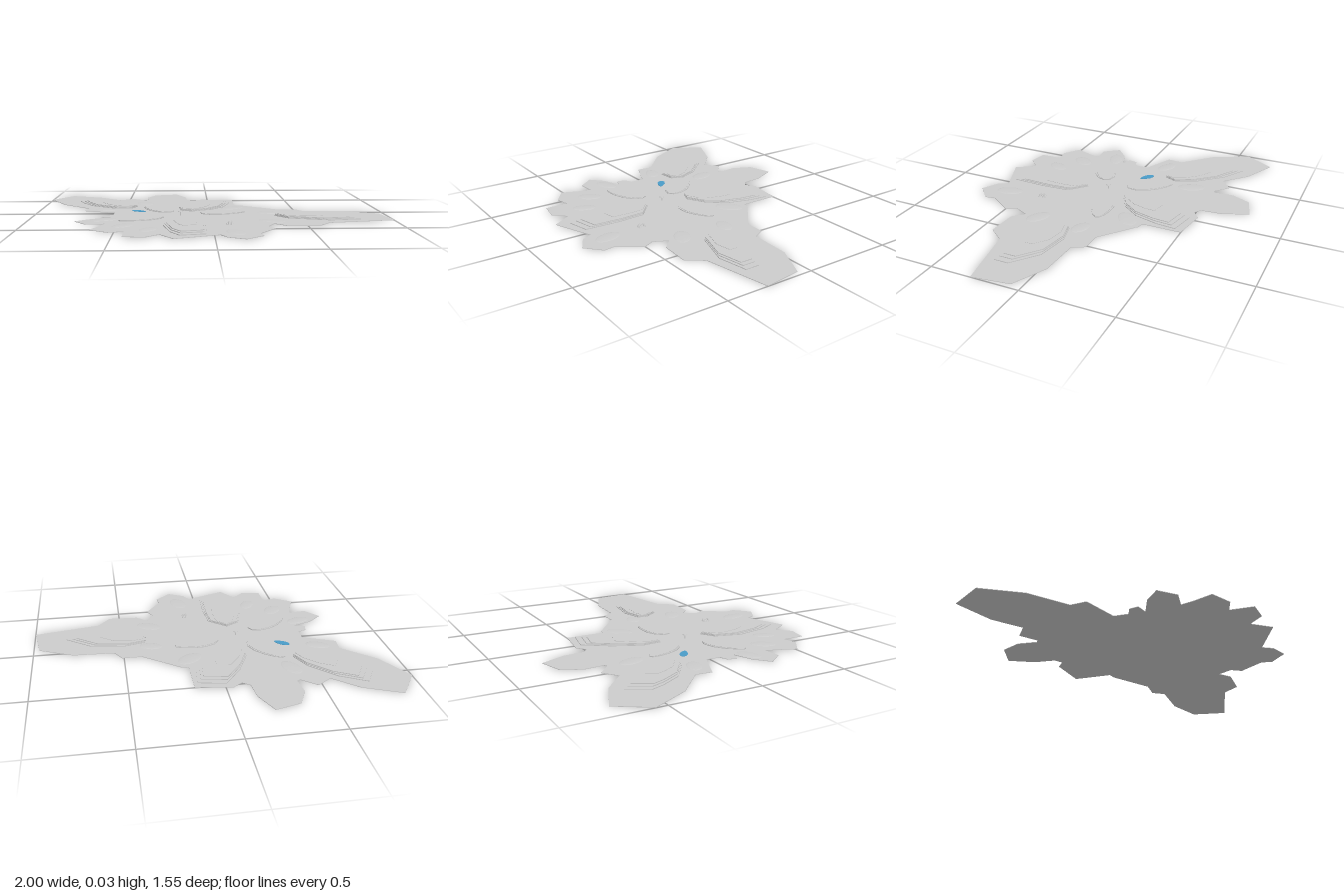
import * as THREE from 'three';

const GREY = new THREE.MeshStandardMaterial({ color: 0xcccccc, flatShading: true });
const BLUE = new THREE.MeshStandardMaterial({ color: 0x4a9cc8, flatShading: true });
const BASE_TOP = 0.003;

// Flat slab from plan points (x, z), reaching from y0 up to y1
function slab(points, y0, y1) {
  const geo = new THREE.ExtrudeGeometry(new THREE.Shape(points), { depth: y1 - y0, bevelEnabled: false });
  return geo.rotateX(Math.PI / 2).translate(0, y1, 0);
}

// Plan points written in hundredths of a unit
const plan = (list) => list.map(([x, z]) => new THREE.Vector2(x / 100, z / 100));

// Points of a rounded leaf between two ends
function leafPoints([x0, z0, x1, z1, width]) {
  const a = new THREE.Vector2(x0, z0).divideScalar(100);
  const b = new THREE.Vector2(x1, z1).divideScalar(100);
  const along = b.clone().sub(a);
  const side = new THREE.Vector2(-along.y, along.x).normalize().multiplyScalar(width / 200);
  const rows = [[0, 0.3], [0.15, 0.8], [0.4, 1], [0.65, 0.85], [0.88, 0.5], [1, 0.15]];
  const at = (t, s) => a.clone().addScaledVector(along, t).addScaledVector(side, s);
  return [...rows.map(([t, s]) => at(t, s)), ...rows.reverse().map(([t, s]) => at(t, -s))];
}

export function createModel() {
  const model = new THREE.Group();
  const add = (name, geo, parent = model, mat = GREY) => {
    const mesh = new THREE.Mesh(geo, mat);
    mesh.name = name;
    parent.add(mesh);
    return mesh;
  };

  // Lobed ground sheet
  const outline = plan([
    [-100, -56], [-89, -73], [-69, -64], [-56, -52], [-48, -58], [-40, -51], [-38, -52], [-39, -63],
    [-34, -74], [-20, -78], [-14, -64], [-13, -52], [-9, -49], [-4, -53], [16, -50], [16, -28],
    [20, -27], [40, -11], [51, -11], [55, -4], [78, -3], [97, 6], [100, 27], [63, 34],
    [56, 43], [39, 42], [33, 36], [29, 44], [32, 50], [23, 63], [24, 69], [15, 77],
    [6, 72], [3, 66], [-20, 75], [-27, 64], [-34, 71], [-45, 69], [-45, 56], [-53, 58],
    [-63, 51], [-59, 41], [-57, 34], [-67, 35], [-74, 26], [-66, 19], [-55, 15], [-61, 13],
    [-60, 8], [-55, 6], [-55, -2], [-64, -6], [-73, -10], [-72, -19], [-89, -35],
  ]);
  add('groundSheet', slab(outline, 0, BASE_TOP));

  // Large terraced petals, each tier shrinking toward the rounded inner end
  const petals = [
    { root: [-47, -21], pts: [[-81, -48], [-75, -59], [-61, -51], [-48, -37], [-43, -25], [-46, -18], [-56, -17], [-71, -28], [-78, -40]] },
    { root: [-14, -9], pts: [[-18, -19], [-11, -35], [-1, -49], [14, -46], [13, -35], [9, -21], [1, -11], [-10, -5], [-17, -8]] },
    { root: [39, 12], pts: [[82, 17], [82, 25], [65, 28], [43, 21], [36, 12], [37, 6], [49, 3], [68, 6]] },
    { root: [-14, 23], pts: [[-17, 68], [-4, 65], [-3, 45], [-4, 29], [-14, 20], [-22, 25], [-26, 40], [-22, 59]] },
  ];
  const tiers = [[1, 0.007], [0.92, 0.011], [0.86, 0.015], [0.54, 0.017]];
  petals.forEach(({ root, pts }, i) => {
    const petal = new THREE.Group();
    petal.name = 'largePetal' + (i + 1);
    const [anchor] = plan([root]);
    let y = BASE_TOP;
    tiers.forEach(([scale, top], k) => {
      const ring = plan(pts).map((p) => p.sub(anchor).multiplyScalar(scale).add(anchor));
      add('tier' + (k + 1), slab(ring, y, top), petal);
      y = top;
    });
    model.add(petal);
  });

  // Small petals around the centre: two ends and a width
  [[-23, -2, -38, -25, 13], [-5, 3, 20, -2, 13], [-27, 14, -50, 26, 13]].forEach((leaf, i) => {
    const petal = new THREE.Group();
    petal.name = 'smallPetal' + (i + 1);
    add('rim', slab(leafPoints(leaf), BASE_TOP, 0.007), petal);
    const inner = [...leaf.slice(0, 4), leaf[4] * 0.85];
    add('top', slab(leafPoints(inner), 0.007, 0.009), petal);
    model.add(petal);
  });

  // Faint low swells near the edge: centre, length, width, heading
  const swells = [
    [-39, -37, 16, 9, 1.2], [14, -18, 16, 10, -0.7], [34, 1, 13, 8, 0.3],
    [33, 28, 15, 9, 0.5], [11, 60, 16, 9, 1.3], [-33, 51, 13, 8, 2.0],
    [-47, 40, 14, 9, 2.2], [-59, 22, 15, 8, 2.8], [-61, -13, 14, 8, 0.4],
  ];
  for (const [x, z, length, width, heading] of swells) {
    const geo = new THREE.SphereGeometry(1, 14, 4, 0, Math.PI * 2, 0, Math.PI / 2);
    geo.scale(length / 200, 0.003, width / 200).rotateY(-heading);
    add('lowSwell', geo).position.set(x / 100, BASE_TOP, z / 100);
  }

  // Blue pool
  const pool = leafPoints([-45, -10, -37.5, -4.5, 4.5]);
  add('pool', slab(pool, BASE_TOP, 0.005), model, BLUE);

  // Central knob on a thin stem
  const stem = add('knobStem', new THREE.CylinderGeometry(0.004, 0.004, 0.021, 6));
  stem.position.set(-0.17, 0.0135, 0.08);
  const cap = add('knobCap', new THREE.CylinderGeometry(0.011, 0.014, 0.006, 8));
  cap.position.set(-0.17, 0.026, 0.08);

  // Cluster of little rocks
  const rocks = new THREE.Group();
  rocks.name = 'rockCluster';
  rocks.position.set(0.095, 0, 0.385);
  for (let i = 0; i < 6; i++) {
    const angle = i * 1.05;
    const height = 0.014 + 0.003 * (i % 3);
    const rock = add('rock', new THREE.ConeGeometry(0.01, height, 5), rocks);
    const reach = i === 0 ? 0 : 0.015;
    rock.position.set(Math.cos(angle) * reach, BASE_TOP + height / 2, Math.sin(angle) * reach);
    rock.rotation.y = angle;
  }
  model.add(rocks);

  return model;
}
